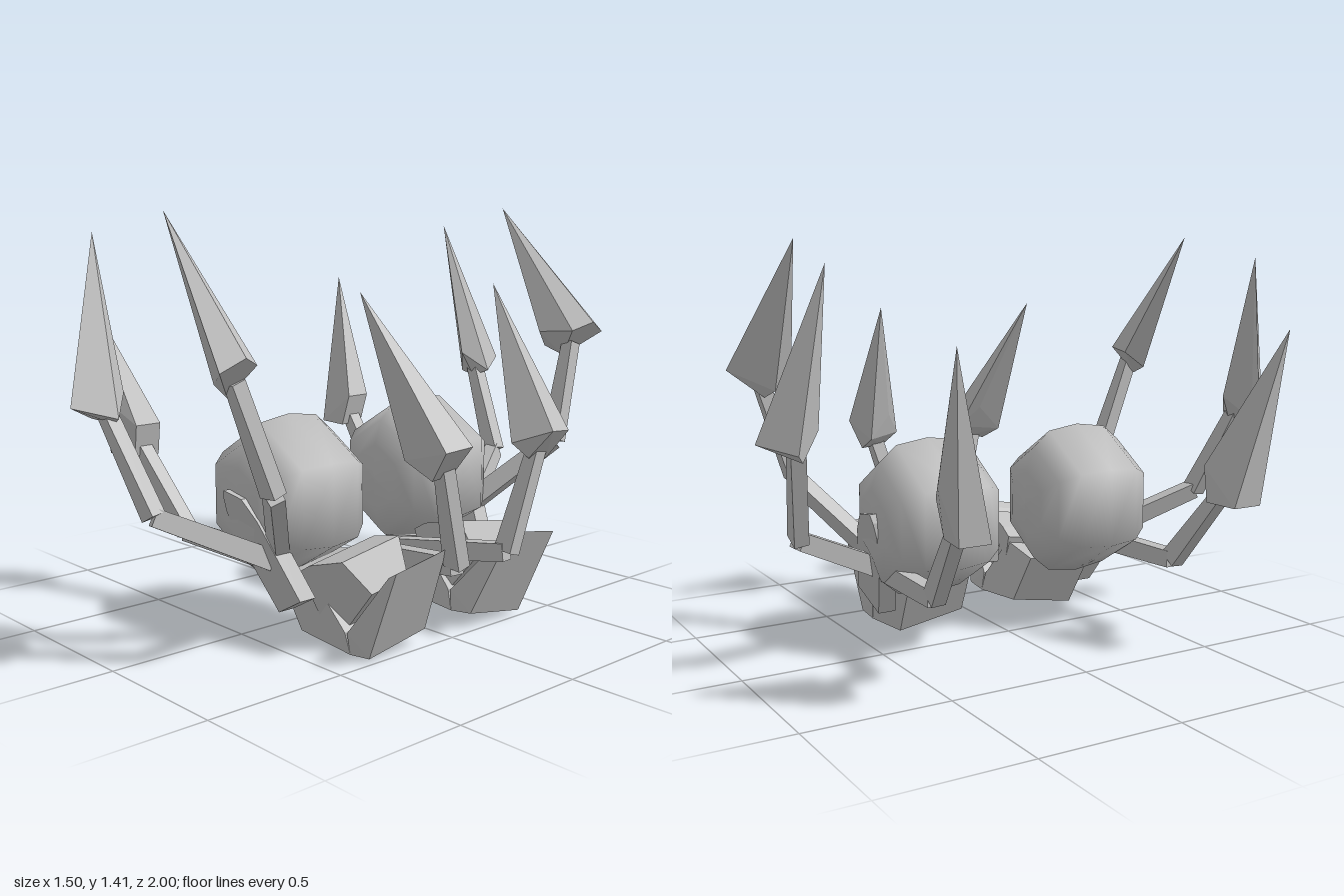
import * as THREE from 'three';
import { mergeVertices } from 'three/addons/utils/BufferGeometryUtils.js';
import { ConvexGeometry } from 'three/addons/geometries/ConvexGeometry.js';

const V = (p) => new THREE.Vector3(...p);
const hull = (pts) => new ConvexGeometry(pts.map(V));

// Four-sided tapered bar from a to b
function bar(a, b, wa, wb, depth = 0.05) {
  const A = V(a), B = V(b);
  const dir = B.clone().sub(A).normalize();
  const ref = Math.abs(dir.z) > 0.8 ? new THREE.Vector3(1, 0, 0) : new THREE.Vector3(0, 0, 1);
  const side = dir.clone().cross(ref).normalize();
  const face = dir.clone().cross(side).normalize();
  const pts = [];
  for (const [p, w] of [[A, wa], [B, wb]])
    for (const s of [-1, 1]) for (const t of [-1, 1])
      pts.push(p.clone().addScaledVector(side, s * w / 2).addScaledVector(face, t * depth / 2));
  return new ConvexGeometry(pts);
}

// Slab from an xy outline, leaning outward; each point is [x, y, zInner, zOuter]
function palmSlab(outline) {
  const pts = [];
  for (const [x, y, z0 = 0.11, z1 = 0.36] of outline)
    for (const z of [z0, z1]) pts.push([x, y - (z - 0.36) * 0.17, z + y * 0.08]);
  return hull(pts);
}

// Reflected copy across z = 0 with corrected winding
function mirrorZ(geometry) {
  const g = geometry.clone().scale(1, 1, -1);
  const i = g.index.array;
  for (let k = 0; k < i.length; k += 3) [i[k + 1], i[k + 2]] = [i[k + 2], i[k + 1]];
  return g;
}

// Each finger: root, elbow, wrist of the claw, and the claw's corners (tip first)
const FINGERS = [
  {
    name: 'outerFinger', root: [0.12, 0.275, 0.45], elbow: [-0.34, 0.285, 0.475], wrist: [-0.57, 0.57, 0.51],
    claw: [[-0.75, 1.12, 0.61], [-0.68, 0.53, 0.46], [-0.68, 0.53, 0.57], [-0.55, 0.53, 0.45],
      [-0.55, 0.53, 0.55], [-0.52, 0.65, 0.46], [-0.52, 0.65, 0.56], [-0.59, 0.7, 0.59]],
  },
  {
    name: 'frontFinger', root: [0.13, 0.28, 0.47], elbow: [-0.04, 0.45, 0.81], wrist: [-0.2, 0.77, 0.87],
    claw: [[-0.34, 1.34, 0.82], [-0.2, 0.8, 1.0], [-0.13, 0.76, 0.87], [-0.3, 0.77, 0.9],
      [-0.21, 0.83, 0.8], [-0.28, 0.745, 0.88], [-0.19, 0.735, 0.85]],
  },
  {
    name: 'middleFinger', root: [0.14, 0.31, 0.45], elbow: [0.38, 0.57, 0.66], wrist: [0.355, 0.92, 0.78],
    claw: [[0.01, 1.41, 0.78], [0.42, 0.96, 0.88], [0.44, 1.0, 0.8], [0.4, 0.97, 0.73],
      [0.27, 0.96, 0.7], [0.24, 0.9, 0.77], [0.32, 0.87, 0.78]],
  },
  {
    name: 'innerFinger', root: [0.2, 0.24, 0.05], elbow: [0.625, 0.3, 0.12], wrist: [0.66, 0.64, 0.22],
    claw: [[0.38, 1.16, 0.31], [0.75, 0.71, 0.19], [0.735, 0.7, 0.29], [0.66, 0.6, 0.27],
      [0.66, 0.61, 0.18], [0.62, 0.66, 0.14], [0.55, 0.65, 0.28], [0.56, 0.74, 0.2]],
  },
];

export function createModel() {
  const model = new THREE.Group();
  model.name = 'pairOfClaws';
  const metal = new THREE.MeshStandardMaterial({ color: 0xc0c0c0 });
  metal.name = 'lightGreyMetal';

  const hands = ['leftHand', 'rightHand'].map((name) => {
    const g = new THREE.Group();
    g.name = name;
    model.add(g);
    return g;
  });
  const add = (name, geometry) => {
    geometry.deleteAttribute('uv');
    const g = geometry.index ? geometry : mergeVertices(geometry);
    [g, mirrorZ(g)].forEach((geo, k) => {
      const mesh = new THREE.Mesh(geo, metal);
      mesh.name = name;
      hands[k].add(mesh);
    });
  };

  // Six-sided smooth orb lying along z
  const half = [[0, 0.223], [0.12, 0.215], [0.205, 0.185], [0.26, 0.12]];
  const profile = [
    ...half.map(([r, h]) => new THREE.Vector2(r, -h)),
    new THREE.Vector2(0.277, 0),
    ...half.slice().reverse().map(([r, h]) => new THREE.Vector2(r, h)),
  ];
  const orb = new THREE.LatheGeometry(profile, 6);
  orb.rotateX(Math.PI / 2).scale(0.945, 1, 1).translate(0.025, 0.458, 0.307);
  add('orb', orb);

  // Bracket holding the orb's outer end
  const bracket = [[-0.03, 0.47], [-0.02, 0.5], [0.07, 0.485], [0.13, 0.42],
    [0.27, 0.17], [0.14, 0.1], [0.03, 0.28], [-0.03, 0.42]];
  add('orbBracket', hull(bracket.flatMap(([x, y]) =>
    [0.385, 0.45].map((z) => [x, y, z + (y - 0.1) * 0.25]))));

  // Palm: base, flared heel plate and knuckle block
  add('palmBase', palmSlab([[0.05, 0.2], [0.15, 0.02], [0.39, 0], [0.37, 0.07], [0.22, 0.23]]));
  add('heelPlate', palmSlab([[0.39, 0], [0.48, 0.01], [0.615, 0.32, 0.13, 0.35],
    [0.58, 0.3, 0.13, 0.35], [0.38, 0.07]]));
  add('knuckleBlock', palmSlab([[0.2, 0.25, 0.1, 0.39], [0.25, 0.28, 0.1, 0.39], [0.39, 0.315, 0.12, 0.37],
    [0.455, 0.2, 0.15, 0.31], [0.36, 0.08, 0.14, 0.33], [0.25, 0.1, 0.12, 0.36]]));

  // Four jointed fingers ending in pointed claws
  for (const f of FINGERS) {
    add(f.name + 'Lower', bar(f.root, f.elbow, 0.07, 0.06));
    add(f.name + 'Upper', bar(f.elbow, f.wrist, 0.07, 0.045));
    add(f.name + 'Claw', hull(f.claw));
  }
  return model;
}
